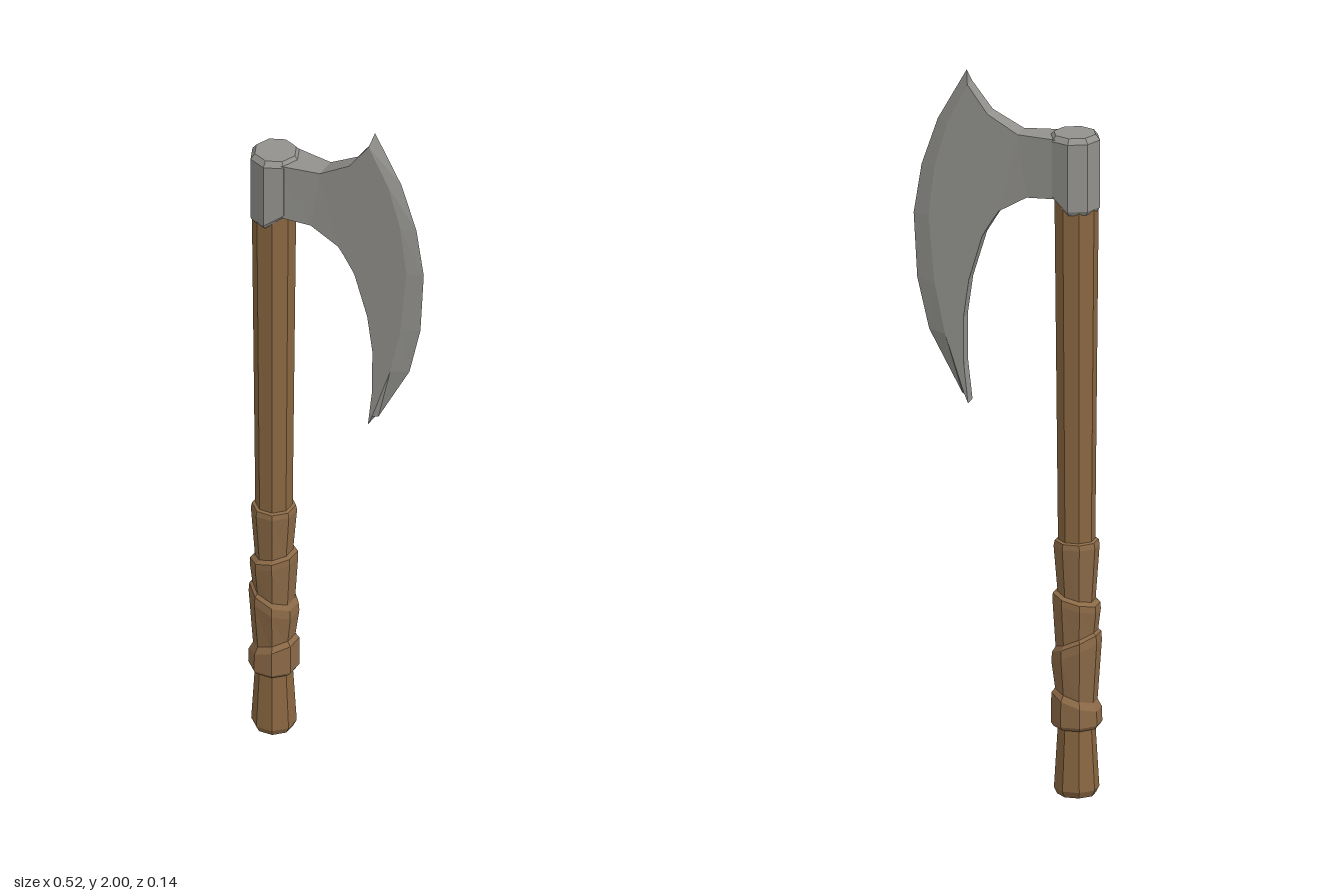
import * as THREE from 'three';

const metal = new THREE.MeshStandardMaterial({ color: 0x92918d, name: 'steel', flatShading: true });
const wood = new THREE.MeshStandardMaterial({ color: 0x8a6741, name: 'wood', flatShading: true });
const wrap = new THREE.MeshStandardMaterial({ color: 0x8c6a47, name: 'leather', flatShading: true });

// Collects polygons (corners counter-clockwise from outside) as flat triangles
function makeMesh(name, material, polygons) {
  const pos = [];
  for (const p of polygons)
    for (let i = 1; i + 1 < p.length; i++) pos.push(...p[0], ...p[i], ...p[i + 1]);
  const geo = new THREE.BufferGeometry();
  geo.setAttribute('position', new THREE.Float32BufferAttribute(pos, 3));
  geo.computeVertexNormals();
  const mesh = new THREE.Mesh(geo, material);
  mesh.name = name;
  return mesh;
}

// Eight-sided post from rings [y, radius, slope or function of cosine], bottom to top
function post(name, material, cx, turn, rings) {
  const loops = rings.map(([y, r, tilt = 0]) => Array.from({ length: 8 }, (_, k) => {
    const a = turn + (k * Math.PI) / 4, c = Math.cos(a);
    const dy = typeof tilt === 'function' ? tilt(c) : tilt * c * r;
    return [cx + c * r, y + dy, Math.sin(a) * r];
  }));
  const polys = [loops[0], [...loops[loops.length - 1]].reverse()];
  for (let i = 0; i + 1 < loops.length; i++)
    for (let k = 0; k < 8; k++) {
      const n = (k + 1) % 8;
      polys.push([loops[i][k], loops[i + 1][k], loops[i + 1][n], loops[i][n]]);
    }
  return makeMesh(name, material, polys);
}

// Half thickness of the blade, thinning away from the collar
function halfThickness(x) {
  const t = [[-0.16, 0.051], [-0.05, 0.032], [0.1, 0.022], [0.22, 0.014]];
  for (let i = 0; i < 3; i++)
    if (x <= t[i + 1][0] || i === 2)
      return THREE.MathUtils.mapLinear(x, t[i][0], t[i + 1][0], t[i][1], t[i + 1][1]);
}

function makeBlade() {
  // Cross-sections from neck to lower tip: outer point, inner point, cutting edge
  const sections = [
    [[-0.16, 1.84], [-0.16, 1.675]],
    [[-0.04, 1.84], [-0.066, 1.667]],
    [[0.045, 1.888], [0.013, 1.62]],
    [[0.102, 1.965], [0.03, 1.595], [0.11, 2.0]],
    [[0.16, 1.85], [0.045, 1.57], [0.19, 1.857]],
    [[0.195, 1.725], [0.06, 1.545], [0.235, 1.725]],
    [[0.212, 1.587], [0.098, 1.418], [0.257, 1.587]],
    [[0.195, 1.4], [0.113, 1.31], [0.247, 1.407]],
    [[0.165, 1.26], [0.112, 1.18], [0.214, 1.265]],
    [[0.112, 1.1], [0.1, 1.072], [0.12, 1.09]],
  ].map(([u, l, e]) => {
    const hu = halfThickness(u[0]), hl = halfThickness(l[0]);
    return { uf: [...u, hu], ub: [...u, -hu], lf: [...l, hl], lb: [...l, -hl], e: e && [...e, 0] };
  });
  const polys = [];
  for (let i = 0; i + 1 < sections.length; i++) {
    const a = sections[i], b = sections[i + 1];
    // Cheeks and inner wall
    polys.push([a.uf, a.lf, b.lf, b.uf], [a.ub, b.ub, b.lb, a.lb], [a.lf, a.lb, b.lb, b.lf]);
    // Ground edge bevels, or the top wall before the edge starts
    if (a.e) polys.push([a.uf, b.uf, b.e, a.e], [a.ub, a.e, b.e, b.ub]);
    else polys.push([a.uf, b.uf, b.ub, a.ub]);
  }
  // Upper and lower tips
  const top = sections[3], end = sections[9];
  polys.push([top.uf, top.e, top.ub], [end.lf, end.lb, end.ub, end.uf], [end.uf, end.ub, end.e]);
  return makeMesh('blade', metal, polys);
}

export function createModel() {
  const group = new THREE.Group();
  group.name = 'axe';
  const cx = -0.195, turn = Math.PI / 8;

  // Handle shaft and flared butt
  group.add(post('shaft', wood, cx, turn, [[0.15, 0.05], [0.7, 0.05], [1.72, 0.06]]));
  group.add(post('butt', wood, cx, turn,
    [[0, 0.052], [0.018, 0.061], [0.2, 0.05]]));

  // Grip wraps, each flaring up to a slanted lip
  const wraps = [
    [[0.19, 0.062], [0.2, 0.069], [0.262, 0.068, 0.35], [0.282, 0.055, 0.35]],
    [[0.26, 0.055, 0.3], [0.4, 0.068, -0.45], [0.425, 0.066, -0.45], [0.44, 0.053, -0.45]],
    [[0.41, 0.055, -0.45], [0.53, 0.065, 0.25], [0.548, 0.064, 0.25], [0.556, 0.05, 0.25]],
    [[0.54, 0.05, 0.25], [0.695, 0.062], [0.71, 0.059], [0.713, 0.05]],
  ];
  wraps.forEach((rings, i) => group.add(post('gripWrap' + (i + 1), wrap, cx, turn, rings)));

  // Collar, cut higher under the blade neck
  const rise = (c) => 0.05 * Math.max(0, c);
  group.add(post('collar', metal, -0.19, 0,
    [[1.635, 0.062, rise], [1.647, 0.07, rise], [1.835, 0.07], [1.85, 0.058]]));

  group.add(makeBlade());
  return group;
}
